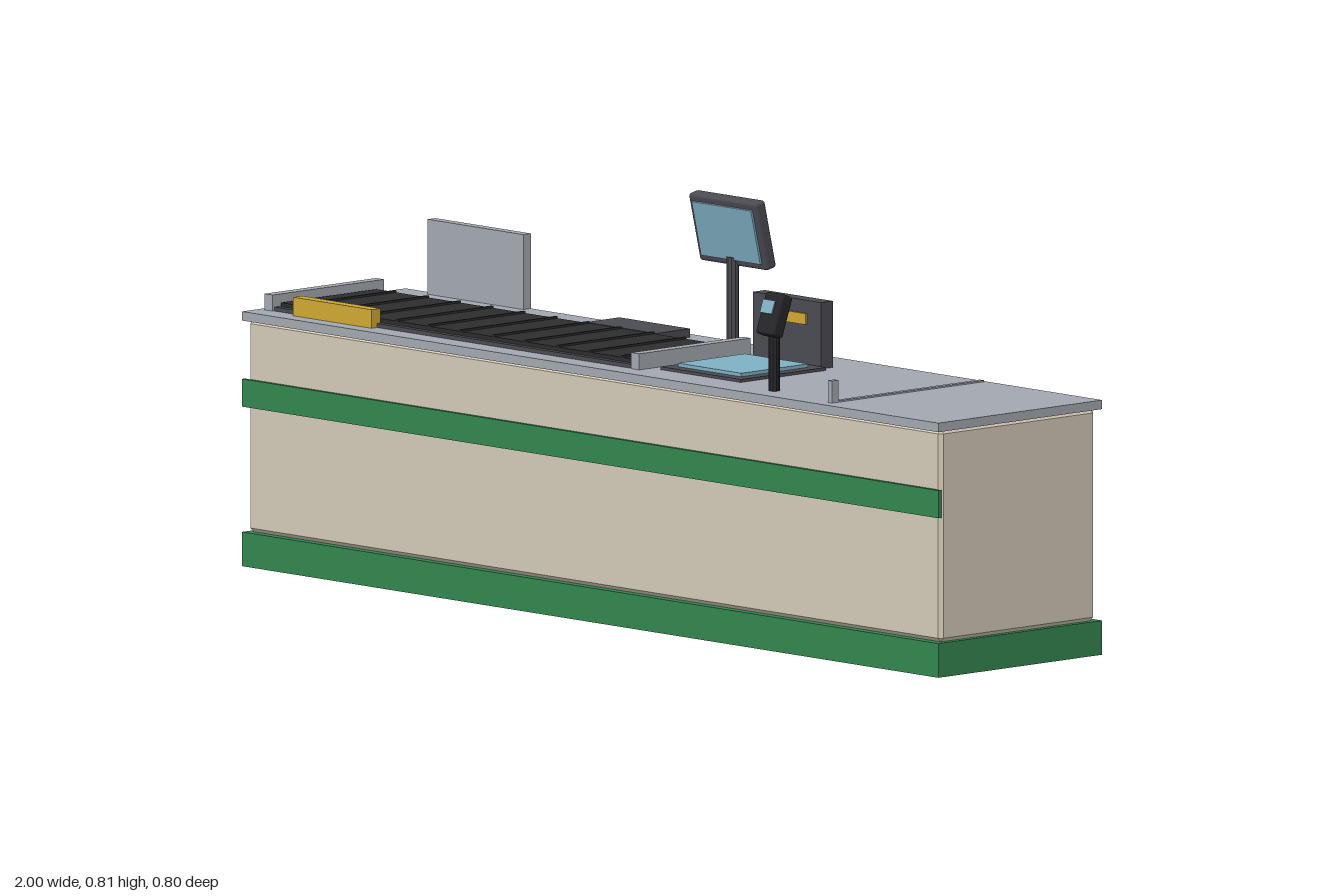
import * as THREE from 'three';
import { ConvexGeometry } from 'three/addons/geometries/ConvexGeometry.js';
import { RoundedBoxGeometry } from 'three/addons/geometries/RoundedBoxGeometry.js';

const mat = (name, color) => {
  const m = new THREE.MeshStandardMaterial({ color, flatShading: true });
  m.name = name;
  return m;
};

export function createModel() {
  const root = new THREE.Group();
  root.name = 'checkoutCounter';

  const beige = mat('beige panel', 0xd2c8b6);
  const green = mat('green trim', 0x33864f);
  const grey = mat('brushed grey', 0xa2a8b0);
  const dark = mat('dark plastic', 0x4a4a52);
  const black = mat('black plastic', 0x26262a);
  const belt = mat('belt rubber', 0x2d2d2d);
  const blue = mat('screen blue', 0x7fb0c4);
  const yellow = mat('yellow accent', 0xcfa733);

  const add = (name, geo, material, parent = root) => {
    const m = new THREE.Mesh(geo, material);
    m.name = name;
    parent.add(m);
    return m;
  };

  // Box given by its extents on each axis
  const box = (name, material, [x0, x1], [y0, y1], [z0, z1], parent) => {
    const m = add(name, new THREE.BoxGeometry(x1 - x0, y1 - y0, z1 - z0), material, parent);
    m.position.set((x0 + x1) / 2, (y0 + y1) / 2, (z0 + z1) / 2);
    return m;
  };

  // Upright faceted cylinder between two heights
  const post = (name, material, r, x, z, y0, y1, sides, parent) => {
    const m = add(name, new THREE.CylinderGeometry(r, r, y1 - y0, sides), material, parent);
    m.position.set(x, (y0 + y1) / 2, z);
    return m;
  };

  // Box with every edge cut by c
  const chamferBox = (w, h, d, c) => {
    const pts = [];
    for (const sx of [-1, 1]) for (const sy of [-1, 1]) for (const sz of [-1, 1]) {
      const [x, y, z] = [w / 2, h / 2, d / 2];
      pts.push(
        new THREE.Vector3(sx * x, sy * (y - c), sz * (z - c)),
        new THREE.Vector3(sx * (x - c), sy * y, sz * (z - c)),
        new THREE.Vector3(sx * (x - c), sy * (y - c), sz * z));
    }
    return new ConvexGeometry(pts);
  };

  // Counter body
  box('plinth', green, [-1, 1], [0, 0.068], [-0.041, 0.4]);
  add('counterBody', chamferBox(1.99, 0.422, 0.418, 0.008), beige).position.set(0, 0.279, 0.18);
  box('countertop', grey, [-1, 1], [0.488, 0.506], [-0.041, 0.4]);
  box('frontStripe', green, [-1, 1], [0.317, 0.372], [0.392, 0.4]);
  box('rearDrawer', dark, [-0.335, -0.17], [0.39, 0.455], [-0.047, -0.025]);

  // Conveyor with cross seams and end rails
  const conveyor = new THREE.Group();
  conveyor.name = 'conveyor';
  root.add(conveyor);
  box('conveyorFrame', dark, [-0.96, 0.075], [0.504, 0.514], [0.06, 0.35], conveyor);
  box('conveyorBelt', belt, [-0.955, 0.07], [0.506, 0.522], [0.08, 0.337], conveyor);
  for (let i = 0; i < 11; i++) {
    const x = -0.9 + i * 0.0925;
    box('beltSeam', belt, [x - 0.003, x + 0.003], [0.52, 0.526], [0.08, 0.337], conveyor);
  }
  for (const x of [-0.985, 0.068])
    box('endRail', grey, [x, x + 0.023], [0.504, 0.538], [0.053, 0.353], conveyor);

  // Counter fittings
  box('yellowGuide', yellow, [-0.89, -0.665], [0.505, 0.543], [0.341, 0.365]);
  box('privacyPanel', grey, [-0.915, -0.64], [0.505, 0.655], [-0.041, -0.02]);
  box('keyboardTray', dark, [-0.355, -0.152], [0.505, 0.523], [-0.012, 0.079]);
  box('dividerPost', grey, [0.655, 0.667], [0.505, 0.55], [0.357, 0.374]);
  box('dividerStrip', grey, [0.655, 0.667], [0.505, 0.509], [-0.035, 0.357]);

  // Item scanner
  box('scannerFrame', dark, [0.117, 0.347], [0.504, 0.512], [0.09, 0.32]);
  box('scannerGlass', blue, [0.14, 0.322], [0.511, 0.519], [0.115, 0.295]);

  // Receipt printer
  box('receiptPrinter', dark, [0.132, 0.327], [0.505, 0.638], [0.053, 0.085]);
  box('printerLabel', yellow, [0.175, 0.287], [0.59, 0.612], [0.084, 0.089]);

  // Cashier monitor, tipped forward on its pole
  post('monitorPole', dark, 0.0125, -0.003, 0.013, 0.505, 0.685, 10);
  const monitor = new THREE.Group();
  monitor.name = 'monitor';
  monitor.position.set(-0.003, 0.738, 0.014);
  monitor.rotation.x = 0.23;
  root.add(monitor);
  add('monitorCase', new RoundedBoxGeometry(0.195, 0.14, 0.027, 2, 0.006), dark, monitor);
  box('monitorScreen', blue, [-0.085, 0.085], [-0.056, 0.056], [0.013, 0.018], monitor);

  // Card terminal, tipped back on its pole
  post('terminalPole', black, 0.011, 0.469, 0.344, 0.505, 0.64, 10);
  const terminal = new THREE.Group();
  terminal.name = 'cardTerminal';
  terminal.position.set(0.469, 0.656, 0.344);
  terminal.rotation.x = -0.35;
  root.add(terminal);
  add('terminalCase', new RoundedBoxGeometry(0.052, 0.085, 0.03, 2, 0.006), black, terminal);
  box('terminalScreen', blue, [-0.017, 0.017], [-0.002, 0.025], [0.021, 0.024], terminal);

  // Cashier stool
  const stool = new THREE.Group();
  stool.name = 'stool';
  stool.position.set(-0.113, 0, -0.291);
  root.add(stool);
  post('stoolSeat', dark, 0.11, 0, 0, 0.356, 0.4, 10, stool);
  post('stoolPole', grey, 0.016, 0, 0, 0.03, 0.358, 10, stool);
  post('stoolBase', dark, 0.11, 0, 0, 0.003, 0.031, 10, stool);

  return root;
}
